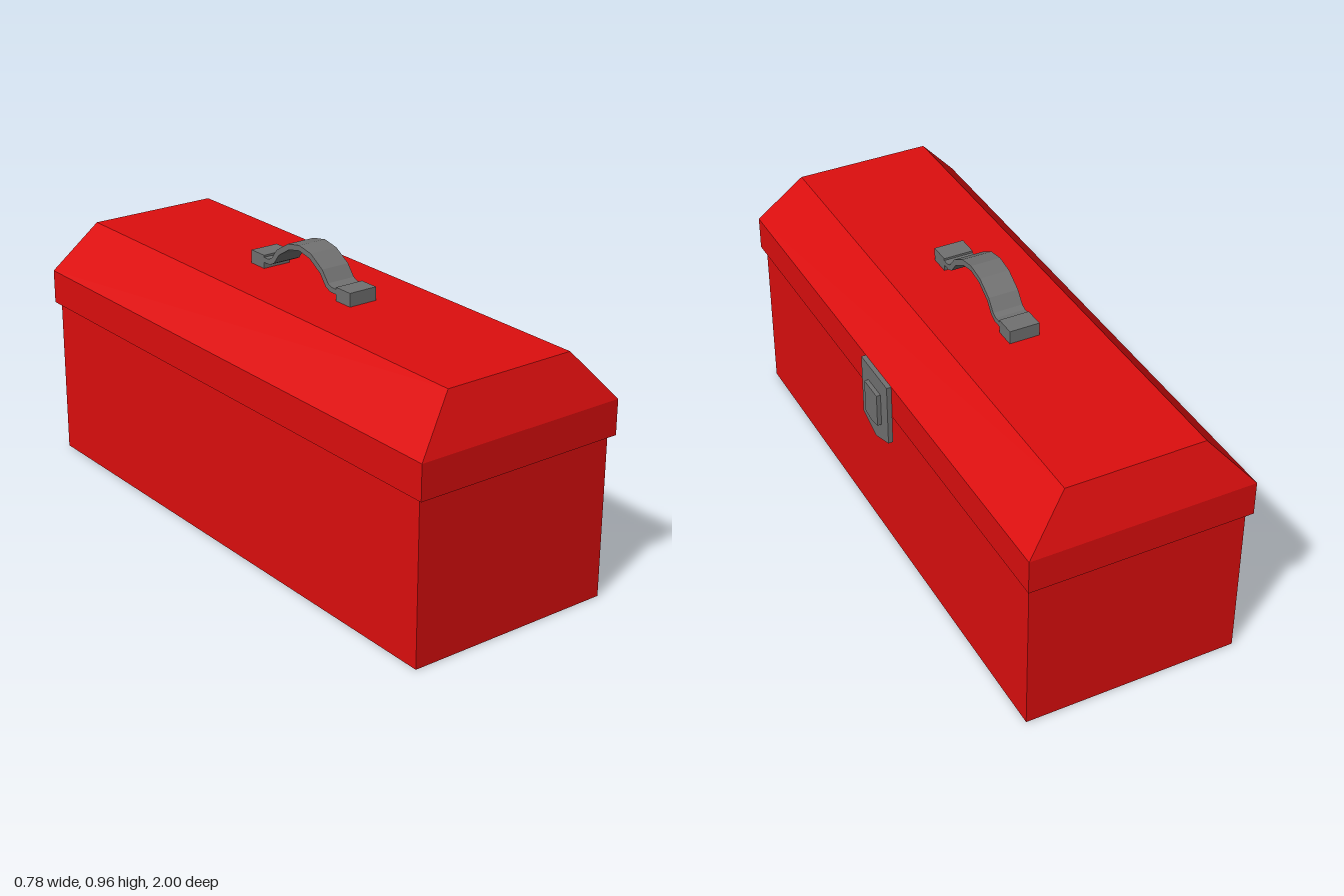
import * as THREE from 'three';

const CX = -0.016; // body axis, offset by the latch on the +x side

function material(name, color) {
  const m = new THREE.MeshStandardMaterial({ color });
  m.name = name;
  return m;
}

function addMesh(parent, name, geometry, mat) {
  const mesh = new THREE.Mesh(geometry, mat);
  mesh.name = name;
  parent.add(mesh);
  return mesh;
}

// Extrude an outline drawn in (z, y) along +x, starting at x0
function extrudeAlongX(points, x0, depth) {
  const shape = new THREE.Shape(points.map(([z, y]) => new THREE.Vector2(z, y)));
  const g = new THREE.ExtrudeGeometry(shape, { depth, bevelEnabled: false });
  return g.rotateY(Math.PI / 2).translate(x0, 0, 0);
}

// Mirror half an outline (z >= 0) into a full closed one
const mirrored = (half) => [...half, ...half.filter(([z]) => z > 0).reverse().map(([z, y]) => [-z, y])];

// Lid: upright rim with a sloped upper part, flat on top
function lidGeometry() {
  const levels = [
    { y: 0.548, hx: 0.377, hz: 1 },
    { y: 0.665, hx: 0.377, hz: 1 },
    { y: 0.83, hx: 0.233, hz: 0.935 },
  ];
  const g = new THREE.BoxGeometry(2, 2, 2, 1, 2, 1).toNonIndexed();
  const p = g.attributes.position;
  for (let i = 0; i < p.count; i++) {
    const l = levels[Math.round(p.getY(i)) + 1];
    p.setXYZ(i, CX + Math.sign(p.getX(i)) * l.hx, l.y, Math.sign(p.getZ(i)) * l.hz);
  }
  g.computeVertexNormals();
  return g;
}

export function createModel() {
  const red = material('red paint', 0xdd0e0e);
  const grey = material('grey metal', 0x717171);
  const model = new THREE.Group();
  model.name = 'toolbox';

  // Lower box and lid
  addMesh(model, 'body', new THREE.BoxGeometry(0.728, 0.55, 1.956).translate(CX, 0.275, 0), red);
  addMesh(model, 'lid', lidGeometry(), red);

  // Carrying handle: two feet joined by an arched strap
  const handle = new THREE.Group();
  handle.name = 'handle';
  model.add(handle);
  for (const side of [-1, 1]) {
    const foot = new THREE.BoxGeometry(0.102, 0.048, 0.07).translate(-0.017, 0.851, side * 0.226);
    addMesh(handle, side > 0 ? 'frontFoot' : 'backFoot', foot, grey);
  }
  const outer = [[0, 0.96], [0.06, 0.949], [0.12, 0.913], [0.15, 0.876], [0.168, 0.868], [0.195, 0.868]];
  const inner = [[0.195, 0.851], [0.16, 0.851], [0.137, 0.862], [0.11, 0.897], [0.054, 0.931], [0, 0.942]];
  const strap = [
    ...outer, ...inner,
    ...inner.slice(0, -1).reverse().map(([z, y]) => [-z, y]),
    ...outer.slice(1).reverse().map(([z, y]) => [-z, y]),
  ];
  addMesh(handle, 'strap', extrudeAlongX(strap, -0.068, 0.102), grey);

  // Latch: pointed plate with a smaller raised tab
  const latch = new THREE.Group();
  latch.name = 'latch';
  model.add(latch);
  const plate = mirrored([[0, 0.412], [0.095, 0.447], [0.095, 0.665]]);
  addMesh(latch, 'latchPlate', extrudeAlongX(plate, 0.361, 0.016), grey);
  const tab = mirrored([[0, 0.48], [0.046, 0.489], [0.046, 0.606]]);
  addMesh(latch, 'latchTab', extrudeAlongX(tab, 0.377, 0.014), grey);

  return model;
}
